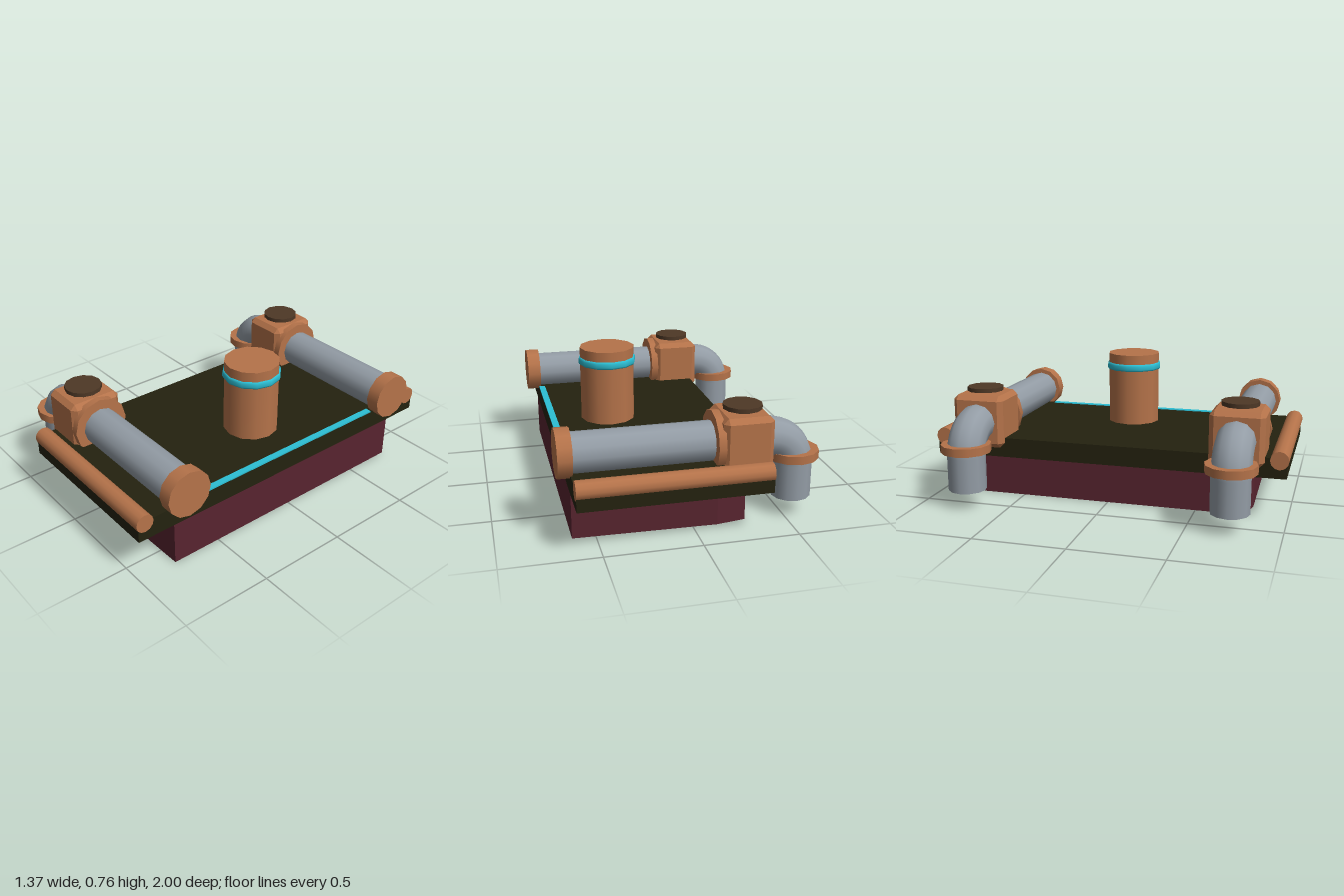
import * as THREE from 'three';
import { ConvexGeometry } from 'three/addons/geometries/ConvexGeometry.js';

const paint = (name, color, side = THREE.FrontSide) => {
  const m = new THREE.MeshStandardMaterial({ color, side });
  m.name = name;
  return m;
};

export function createModel() {
  const copper = paint('copper', 0xb5734a);
  const steel = paint('steel grey', 0x939ca5, THREE.DoubleSide);
  const olive = paint('dark olive', 0x24220f);
  const maroon = paint('maroon', 0x58242f);
  const cyan = paint('cyan', 0x2cbfd4);
  const bronze = paint('dark bronze', 0x4e3826);

  const model = new THREE.Group();
  model.name = 'pipeStation';

  const add = (parent, name, geometry, material, x, y, z) => {
    const mesh = new THREE.Mesh(geometry, material);
    mesh.name = name;
    mesh.position.set(x, y, z);
    parent.add(mesh);
    return mesh;
  };
  const discY = (r, h, open = false) => new THREE.CylinderGeometry(r, r, h, 12, 1, open);
  const discX = (r, h, open = false) => discY(r, h, open).rotateZ(Math.PI / 2);

  // Box with every edge chamfered by c
  const chamferBox = (w, h, d, c) => {
    const points = [];
    for (const sx of [-1, 1]) for (const sy of [-1, 1]) for (const sz of [-1, 1]) {
      for (let full = 0; full < 3; full++) {
        const half = [w, h, d].map((s, i) => s / 2 - (i === full ? 0 : c));
        points.push(new THREE.Vector3(sx * half[0], sy * half[1], sz * half[2]));
      }
    }
    return new ConvexGeometry(points);
  };

  // Foundation, slightly wider near its back end
  const plan = [[0.62, 0.78], [-0.13, 0.8], [-0.285, 0.775]];
  const outline = [...plan, ...plan.map(([x, z]) => [x, -z]).reverse()];
  const shape = new THREE.Shape(outline.map(([x, z]) => new THREE.Vector2(x, z)));
  const foundation = new THREE.ExtrudeGeometry(shape, { depth: 0.24, bevelEnabled: false });
  foundation.rotateX(-Math.PI / 2);
  add(model, 'foundation', foundation, maroon, 0, 0, 0);

  // Deck and its light strip
  add(model, 'deck', new THREE.BoxGeometry(0.98, 0.11, 1.98), olive, 0.13, 0.295, 0);
  add(model, 'edgeStrip', new THREE.BoxGeometry(0.036, 0.008, 1.26), cyan, 0.603, 0.35, 0);

  // Central chimney
  add(model, 'chimney', discY(0.153, 0.425), copper, 0.29, 0.5525, 0);
  const band = [[0.15, -0.02], [0.157, -0.02], [0.162, -0.01], [0.162, 0.01], [0.157, 0.02], [0.15, 0.02]];
  add(model, 'chimneyBand',
    new THREE.LatheGeometry(band.map(([r, y]) => new THREE.Vector2(r, y)), 12), cyan, 0.29, 0.69, 0);

  // Pipe run and rail on both sides
  for (const side of [-1, 1]) {
    const run = new THREE.Group();
    run.name = side > 0 ? 'frontPipeRun' : 'backPipeRun';
    run.position.z = side * 0.727;
    model.add(run);

    add(run, 'mainPipe', discX(0.105, 1.03, true), steel, 0.115, 0.44, 0);
    const elbow = new THREE.TorusGeometry(0.15, 0.105, 12, 10, Math.PI / 2).rotateZ(Math.PI / 2);
    add(run, 'elbow', elbow, steel, -0.4, 0.29, 0);
    add(run, 'downPipe', discY(0.105, 0.19, true), steel, -0.55, 0.195, 0);
    add(run, 'downPipeFlange', discY(0.138, 0.045), copper, -0.55, 0.3375, 0);

    add(run, 'valveBody', chamferBox(0.266, 0.295, 0.295, 0.027), copper, -0.267, 0.443, 0);
    add(run, 'valveFlange', discX(0.157, 0.04), copper, -0.126, 0.443, 0);
    add(run, 'valveKnob', discY(0.102, 0.023), bronze, -0.27, 0.614, 0);
    add(run, 'endCap', discX(0.128, 0.075), copper, 0.6475, 0.443, 0);

    add(model, 'sideRail', discX(0.05, 0.982), copper, 0.13, 0.337, side * 0.95);
  }
  return model;
}
